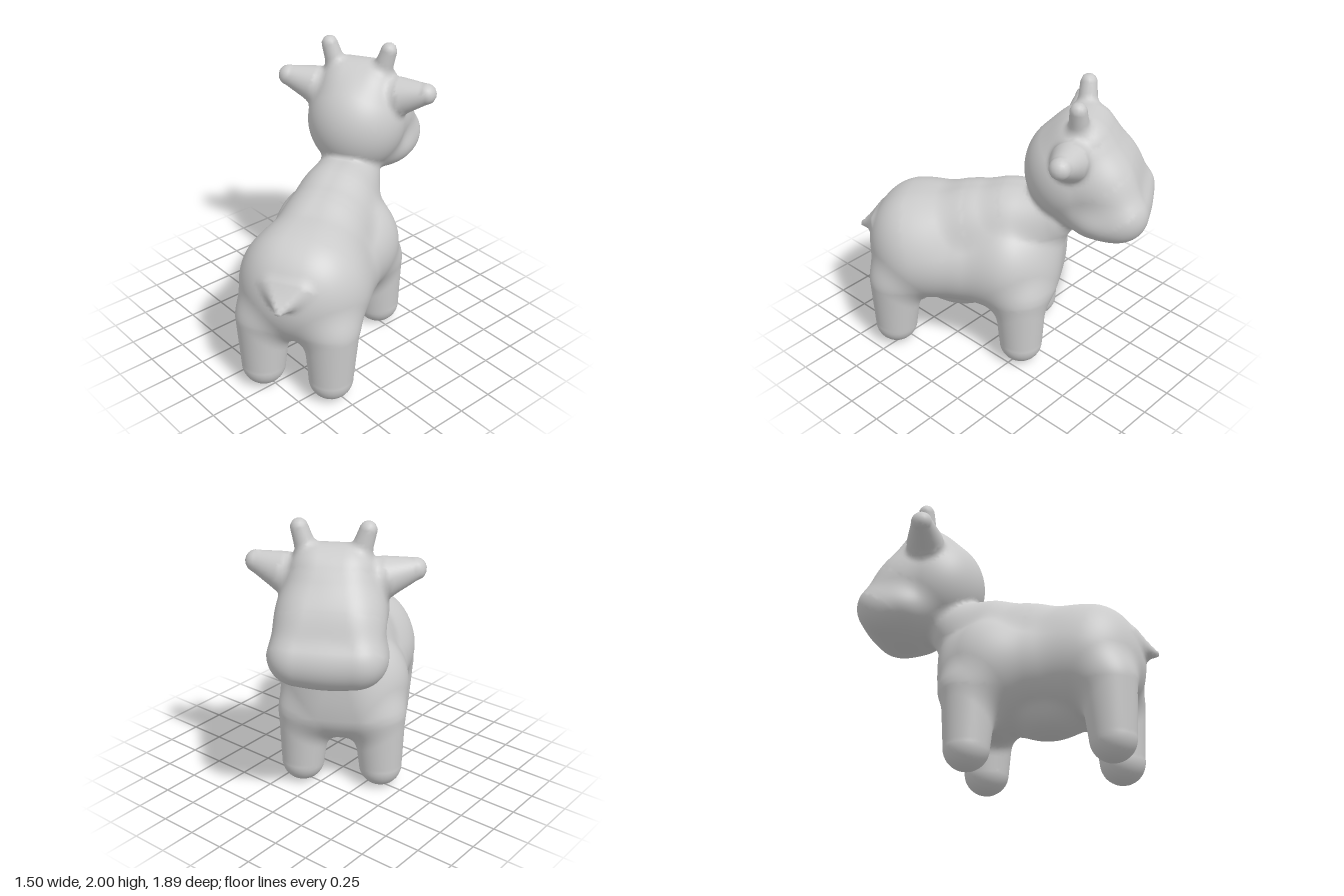
import * as THREE from 'three';
import { mergeVertices } from 'three/addons/utils/BufferGeometryUtils.js';

// The animal is a smooth blend of simple solids, mirrored in x and facing -z.
const ellipsoid = (cy, cz, rx, ry, rz) => (x, y, z) => {
  const a = x / rx, b = (y - cy) / ry, c = (z - cz) / rz;
  const k = Math.hypot(a, b, c);
  return k * (k - 1) / Math.max(Math.hypot(a / rx, b / ry, c / rz), 1e-4);
};

// Tapered capsule; each end is x, y, z, radius and half width of a flat middle
const limb = ([ax, ay, az, ar, aw = 0], [bx, by, bz, br, bw = 0]) => {
  const ux = bx - ax, uy = by - ay, uz = bz - az;
  const len2 = ux * ux + uy * uy + uz * uz;
  return (x, y, z) => {
    const dot = (x - ax) * ux + (y - ay) * uy + (z - az) * uz;
    const t = Math.min(1, Math.max(0, dot / len2));
    const dx = Math.max(Math.abs(x - ax - ux * t) - aw - (bw - aw) * t, 0);
    return Math.hypot(dx, y - ay - uy * t, z - az - uz * t) - ar - (br - ar) * t;
  };
};

// Limb on the middle plane; each end is y, z, radius, half width
const bar = (a, b) => limb([0, ...a], [0, ...b]);

const parts = [];
const add = (name, solid, blend = 0.1) => parts.push({ name, solid, blend });
const addPair = (name, solid, blend) => parts.push({ name, solid, blend, paired: true });

// Trunk: shoulders, rump, barrel, back, withers
const withers = [0.95, 0.22, 0.235, 0.03], nape = [1.04, -0.02, 0.2, 0.03];
add('body', ellipsoid(0.72, -0.02, 0.42, 0.42, 0.32));
add('body', ellipsoid(0.74, 0.6, 0.41, 0.38, 0.37));
add('body', bar([0.7, 0, 0.31, 0.1], [0.7, 0.58, 0.32, 0.09]));
add('body', bar([0.85, 0.63, 0.26, 0.08], withers));
add('body', bar(withers, nape));
add('chest', bar([0.6, -0.18, 0.19, 0.14], [0.98, -0.23, 0.18, 0.04]));
add('udder', ellipsoid(0.42, 0.33, 0.23, 0.15, 0.27), 0.06);
add('neck', bar(nape, [1.1, -0.3, 0.18, 0.03]), 0.08);
add('tail', bar([0.86, 0.9, 0.07, 0.09], [0.79, 1.04, 0.022, 0.01]), 0.06);

// Legs
addPair('frontLeg', limb([0.27, 0.15, -0.15, 0.148], [0.255, 0.52, -0.14, 0.18]), 0.09);
addPair('rearLeg', limb([0.237, 0.15, 0.765, 0.148], [0.235, 0.52, 0.75, 0.182]), 0.09);

// Head: skull, forehead, muzzle, jaw
const brow = [1.42, -0.64, 0.2, 0.12];
add('head', ellipsoid(1.43, -0.45, 0.34, 0.36, 0.335), 0.04);
add('head', bar([1.66, -0.5, 0.195, 0.08], brow), 0.08);
add('head', bar(brow, [1.23, -0.775, 0.18, 0.185]), 0.08);
add('head', ellipsoid(1.2, -0.64, 0.36, 0.2, 0.28), 0.08);
addPair('ear', limb([0.33, 1.65, -0.45, 0.125], [0.49, 1.695, -0.425, 0.072]), 0.06);
addPair('horn', limb([0.15, 1.75, -0.485, 0.072], [0.21, 1.945, -0.48, 0.055]), 0.04);

function field(x, y, z) {
  const ax = Math.abs(x);
  let d = 10;
  for (const { solid, blend } of parts) {
    const e = solid(ax, y, z);
    const h = Math.max(blend - Math.abs(d - e), 0) / blend;
    d = Math.min(d, e) - h * h * blend / 4;
  }
  return d;
}

function gradient([x, y, z]) {
  const e = 0.002;
  return [field(x + e, y, z) - field(x - e, y, z), field(x, y + e, z) - field(x, y - e, z),
    field(x, y, z + e) - field(x, y, z - e)].map((v) => v / (2 * e));
}

// Name of the part nearest to a point of the skin
function partAt(x, y, z) {
  let best = null, low = Infinity;
  for (const part of parts) {
    const d = part.solid(Math.abs(x), y, z);
    if (d < low) { low = d; best = part; }
  }
  return best.paired ? best.name + (x > 0 ? 'Left' : 'Right') : best.name;
}

// Skin the blend on a regular grid and sort its faces by part
function buildSkin() {
  const s = 0.025, origin = [-0.7125, -0.06, -1.05], n = [58, 86, 88];
  const step = [1, n[0], n[0] * n[1]];
  const total = n[0] * n[1] * n[2];
  const cellOf = (i) => [i % n[0], Math.floor(i / n[0]) % n[1], Math.floor(i / step[2])];
  const pointOf = (i) => cellOf(i).map((v, a) => origin[a] + v * s);
  const values = new Float32Array(total);
  for (let i = 0; i < total; i++) values[i] = field(...pointOf(i));

  // One skin vertex per cell: mean of its edge crossings, pulled onto the surface
  const cache = new Map();
  const vertex = (i) => {
    if (cache.has(i)) return cache.get(i);
    const p = [0, 0, 0];
    let count = 0;
    for (let c = 0; c < 8; c++) {
      for (let a = 0; a < 3; a++) {
        if (c >> a & 1) continue;
        const bits = [c & 1, c >> 1 & 1, c >> 2 & 1];
        const from = i + bits[0] + bits[1] * step[1] + bits[2] * step[2];
        const u = values[from], v = values[from + step[a]];
        if (u < 0 === v < 0) continue;
        bits[a] = u / (u - v);
        bits.forEach((b, k) => { p[k] += b; });
        count++;
      }
    }
    const base = pointOf(i);
    const pos = p.map((v, a) => base[a] + v / count * s);
    for (let pass = 0; pass < 2; pass++) {
      const g = gradient(pos), d = field(...pos);
      const m = Math.max(g[0] ** 2 + g[1] ** 2 + g[2] ** 2, 0.3);
      g.forEach((v, a) => { pos[a] -= v * d / m; });
    }
    const g = gradient(pos), l = Math.hypot(...g) || 1;
    const result = { pos, normal: g.map((v) => v / l) };
    cache.set(i, result);
    return result;
  };

  const skins = {};
  for (let i = 0; i < total; i++) {
    const cell = cellOf(i);
    if (cell.some((v, a) => v < 1 || v > n[a] - 2)) continue;
    for (let a = 0; a < 3; a++) {
      const inside = values[i] < 0;
      if (inside === values[i + step[a]] < 0) continue;
      const b = step[(a + 1) % 3], c = step[(a + 2) % 3];
      const quad = [i - b - c, i - c, i, i - b].map(vertex);
      if (!inside) quad.reverse();
      const mid = [0, 1, 2].map((k) => (quad[0].pos[k] + quad[2].pos[k]) / 2);
      const skin = skins[partAt(...mid)] ??= { position: [], normal: [] };
      for (const q of [0, 1, 2, 0, 2, 3]) {
        skin.position.push(...quad[q].pos);
        skin.normal.push(...quad[q].normal);
      }
    }
  }
  return skins;
}

export function createModel() {
  const material = new THREE.MeshStandardMaterial({ color: 0xcccccc });
  const animal = new THREE.Group();
  animal.name = 'cow';
  for (const [name, skin] of Object.entries(buildSkin())) {
    const geometry = new THREE.BufferGeometry();
    geometry.setAttribute('position', new THREE.Float32BufferAttribute(skin.position, 3));
    geometry.setAttribute('normal', new THREE.Float32BufferAttribute(skin.normal, 3));
    const mesh = new THREE.Mesh(mergeVertices(geometry, 1e-5), material);
    mesh.name = name;
    animal.add(mesh);
  }

  // Turn the animal to its heading, then centre it on the ground
  animal.rotation.y = THREE.MathUtils.degToRad(30.5);
  const model = new THREE.Group();
  model.add(animal);
  model.updateMatrixWorld(true);
  const box = new THREE.Box3().setFromObject(model, true);
  const centre = box.getCenter(new THREE.Vector3());
  animal.position.set(-centre.x, -box.min.y, -centre.z);
  return model;
}
